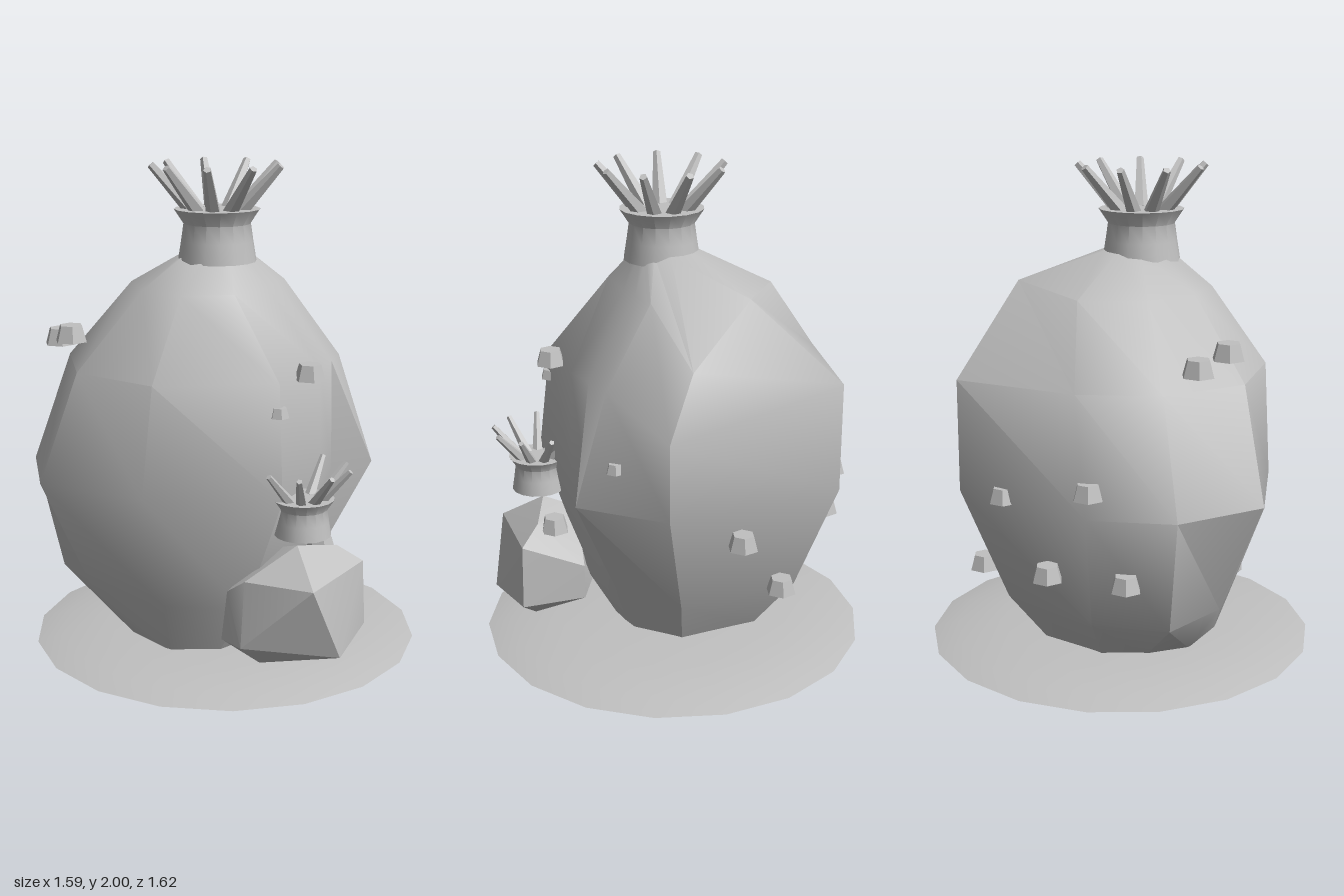
import * as THREE from 'three';
import { toCreasedNormals } from 'three/addons/utils/BufferGeometryUtils.js';
import { ConvexGeometry } from 'three/addons/geometries/ConvexGeometry.js';

const stone = new THREE.MeshStandardMaterial({ color: 0xc0c0c0 });
stone.name = 'pale grey';

function part(name, geometry, parent, crease = 0.6) {
  const mesh = new THREE.Mesh(toCreasedNormals(geometry, crease), stone);
  mesh.name = name;
  parent.add(mesh);
  return mesh;
}

// Closed solid lofted through rings of [x, z] pairs; lift moves single corners up or down
function loft(rings) {
  const n = rings[0].points.length / 2;
  const positions = [];
  const index = [];
  for (const { y, points, lift = {} } of rings)
    for (let j = 0; j < n; j++) positions.push(points[2 * j], y + (lift[j] ?? 0), points[2 * j + 1]);
  for (let i = 0; i < rings.length - 1; i++) {
    for (let j = 0; j < n; j++) {
      const a = i * n + j, b = i * n + (j + 1) % n;
      index.push(a, b, a + n, b, b + n, a + n);
    }
  }
  const top = (rings.length - 1) * n;
  for (let j = 1; j < n - 1; j++) {
    index.push(0, j + 1, j);
    index.push(top, top + j, top + j + 1);
  }
  const g = new THREE.BufferGeometry();
  g.setAttribute('position', new THREE.Float32BufferAttribute(positions, 3));
  g.setIndex(index);
  return g.toNonIndexed();
}

function lathe(profile, sides) {
  return new THREE.LatheGeometry(profile.map(([r, y]) => new THREE.Vector2(r, y)), sides);
}

// Flared collar with nine tapered spikes leaning outwards
function createCrown(name) {
  const crown = new THREE.Group();
  crown.name = name;
  part('collar', lathe([[0, 0], [0.158, 0], [0.145, 0.08], [0.135, 0.15], [0.173, 0.208], [0, 0.21]], 16), crown, 0.8);
  const up = new THREE.Vector3(0, 1, 0);
  for (let i = 0; i < 9; i++) {
    const a = i * Math.PI * 2 / 9;
    const at = (r, y) => new THREE.Vector3(r * Math.cos(a), y, r * Math.sin(a));
    const base = at(0.09, 0.19), tip = at(0.262, 0.382);
    const dir = tip.clone().sub(base);
    const spike = part('spike', new THREE.CylinderGeometry(0.016, 0.032, dir.length(), 5), crown, 0.3);
    spike.position.copy(base).add(tip).multiplyScalar(0.5);
    spike.quaternion.setFromUnitVectors(up, dir.normalize());
  }
  return crown;
}

export function createModel() {
  const model = new THREE.Group();
  model.name = 'spikyFruit';

  // Low mound under the fruit
  part('groundMound', lathe([[0, 0], [0.808, 0], [0.7, 0.026], [0.5, 0.046], [0.25, 0.054], [0, 0.056]], 18), model);

  // Large faceted body, with a hollow on its left and a flat upper back
  part('largeBody', loft([
    { y: 0.03, points: [-0.3, 0.28, -0.1, 0.4, 0.08, 0.34, 0.22, 0.1, 0.23, 0, 0.23, -0.06, 0.12, -0.24, -0.2, -0.3, -0.36, -0.08, -0.36, 0.1] },
    { y: 0.27, points: [-0.45, 0.39, -0.1, 0.49, 0.22, 0.42, 0.36, 0.1, 0.36, -0.02, 0.35, -0.1, 0.21, -0.36, -0.3, -0.46, -0.6, -0.12, -0.67, 0.18] },
    { y: 0.75, points: [-0.6, 0.54, -0.14, 0.61, 0.38, 0.46, 0.44, 0.1, 0.45, -0.04, 0.59, -0.18, 0.37, -0.51, -0.37, -0.64, -0.73, -0.14, -0.78, 0.2] },
    { y: 1.2, lift: { 6: -0.13 }, points: [-0.46, 0.47, -0.1, 0.59, 0.35, 0.41, 0.43, 0.1, 0.44, -0.05, 0.44, -0.18, 0.37, -0.51, -0.37, -0.64, -0.6, -0.18, -0.63, 0.15] },
    { y: 1.51, lift: { 6: -0.2, 7: 0.03 }, points: [-0.25, 0.29, -0.06, 0.37, 0.13, 0.28, 0.2, 0.06, 0.21, -0.04, 0.21, -0.15, 0.22, -0.45, -0.08, -0.41, -0.37, -0.17, -0.37, 0.1] },
    { y: 1.65, points: [-0.1, 0.16, -0.01, 0.2, 0.07, 0.16, 0.1, 0.08, 0.1, 0.04, 0.09, 0, 0.05, -0.06, -0.05, -0.07, -0.12, -0.02, -0.13, 0.08] },
  ]), model, 0.7);

  const largeCrown = createCrown('largeCrown');
  largeCrown.position.set(-0.005, 1.61, 0.085);
  model.add(largeCrown);

  // Small boulder-shaped fruit beside it
  const corners = [
    [0.16, 0.36, 0.47], [0.12, 0.13, 0.42], [0.28, 0.05, 0.42], [0.52, 0.05, 0.3], [0.65, 0.17, 0.17],
    [0.64, 0.44, 0.18], [0.53, 0.43, 0.55], [0.62, 0.14, 0.47], [0.24, 0.42, 0.5], [0.42, 0.55, 0.38],
    [0.54, 0.51, 0.22], [0.3, 0.5, 0.3], [0.4, 0.33, 0.08], [0.4, 0.18, 0.08], [0.24, 0.16, 0.55],
  ];
  part('smallBody', new ConvexGeometry(corners.map((c) => new THREE.Vector3(...c))), model, 0.5);

  const smallCrown = createCrown('smallCrown');
  smallCrown.scale.setScalar(0.71);
  smallCrown.position.set(0.44, 0.6, 0.38);
  model.add(smallCrown);

  // Six-sided warts: x, bottom y, z, size
  const warts = [
    [-0.61, 1.27, 0.28, 1], [-0.51, 1.31, 0.4, 1], [0.43, 1.19, 0.26, 0.95], [0.35, 1.07, 0.41, 0.6],
    [0.06, 0.58, -0.57, 0.95], [-0.14, 0.33, -0.57, 0.95], [-0.48, 0.74, -0.46, 0.9], [-0.6, 0.46, -0.29, 0.95],
    [-0.69, 0.82, -0.13, 0.95], [-0.71, 0.46, 0.01, 0.95], [0.47, 0.47, 0.2, 0.95], [0.46, 0.9, -0.27, 0.6],
  ];
  const wartShape = new THREE.CylinderGeometry(0.047, 0.066, 0.066, 6).translate(0, 0.033, 0);
  for (const [x, y, z, size] of warts) {
    const wart = part('wart', wartShape, model, 0.3);
    wart.position.set(x, y, z);
    wart.rotation.y = Math.PI / 6;
    wart.scale.setScalar(size);
  }
  return model;
}
